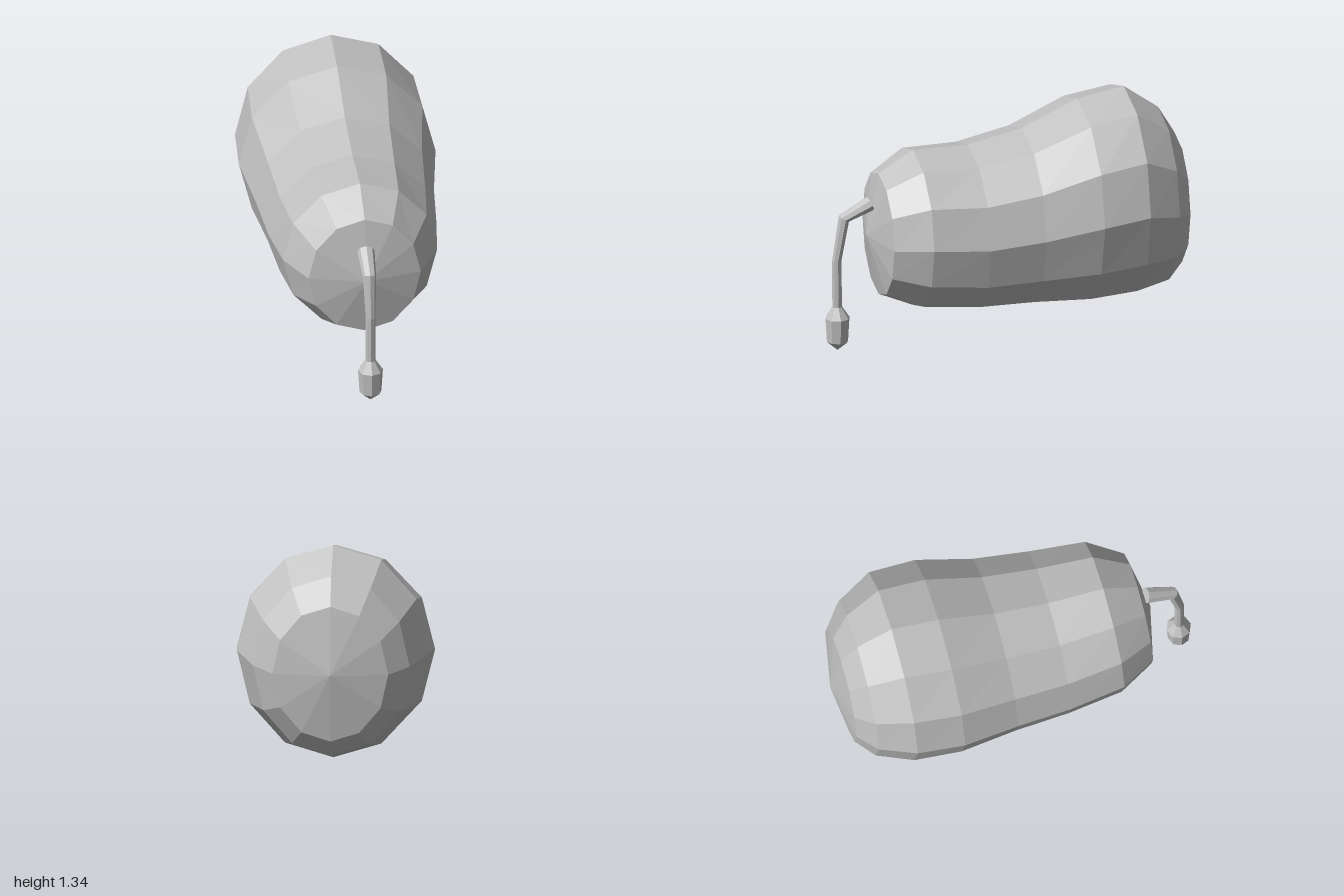
import * as THREE from 'three';

// Lofts elliptical rings [y, z, halfWidth, halfHeight, tilt]; zero-size rings make points.
function loft(rings, sides) {
  const point = ([y, z, w, h, tilt = 0], j) => {
    const a = (j % sides) / sides * Math.PI * 2;
    const u = h * Math.cos(a);
    return [w * Math.sin(a), y + u * Math.cos(tilt), z + u * Math.sin(tilt)];
  };
  const pos = [];
  for (let i = 0; i < rings.length - 1; i++) {
    const front = rings[i], back = rings[i + 1];
    for (let j = 0; j < sides; j++) {
      const a = point(front, j), b = point(front, j + 1);
      const c = point(back, j + 1), d = point(back, j);
      if (front[2] > 0) pos.push(...a, ...b, ...d);
      if (back[2] > 0) pos.push(...b, ...c, ...d);
    }
  }
  const geo = new THREE.BufferGeometry();
  geo.setAttribute('position', new THREE.Float32BufferAttribute(pos, 3));
  geo.computeVertexNormals();
  return geo;
}

export function createModel() {
  const group = new THREE.Group();
  const grey = new THREE.MeshStandardMaterial({ color: 0xc0c0c0, flatShading: true });
  grey.name = 'plain grey';

  const add = (name, rings, sides) => {
    const mesh = new THREE.Mesh(loft(rings, sides), grey);
    mesh.name = name;
    group.add(mesh);
  };

  // Faceted body, from the narrow front end to the tall rounded back
  add('body', [
    [0.64, 0.775, 0, 0],
    [0.64, 0.705, 0.302, 0.34],
    [0.657, 0.515, 0.415, 0.438],
    [0.643, 0.21, 0.453, 0.452],
    [0.674, -0.09, 0.48, 0.484],
    [0.735, -0.4, 0.53, 0.56],
    [0.765, -0.66, 0.515, 0.575],
    [0.718, -0.85, 0.42, 0.486],
    [0.689, -0.94, 0.31, 0.365],
    [0.69, -1, 0, 0],
  ], 12);

  // Bulb hanging at the end of the stalk, from its point up to the neck
  const down = Math.PI / 2;
  const neck = [0.25, 0.935, 0.027, 0.027, down];
  add('stalkTip', [
    [0.005, 0.933, 0, 0, down],
    [0.056, 0.933, 0.059, 0.059, down],
    [0.187, 0.933, 0.067, 0.067, down],
    neck,
  ], 8);

  // Thin bent stalk, rising from the bulb and turning into the body
  add('stalk', [
    neck,
    [0.51, 0.937, 0.026, 0.026, 1.5],
    [0.745, 0.897, 0.036, 0.033, 1.05],
    [0.816, 0.75, 0.046, 0.041, 0.42],
    [0.816, 0.75, 0, 0, 0.42],
  ], 8);

  return group;
}
